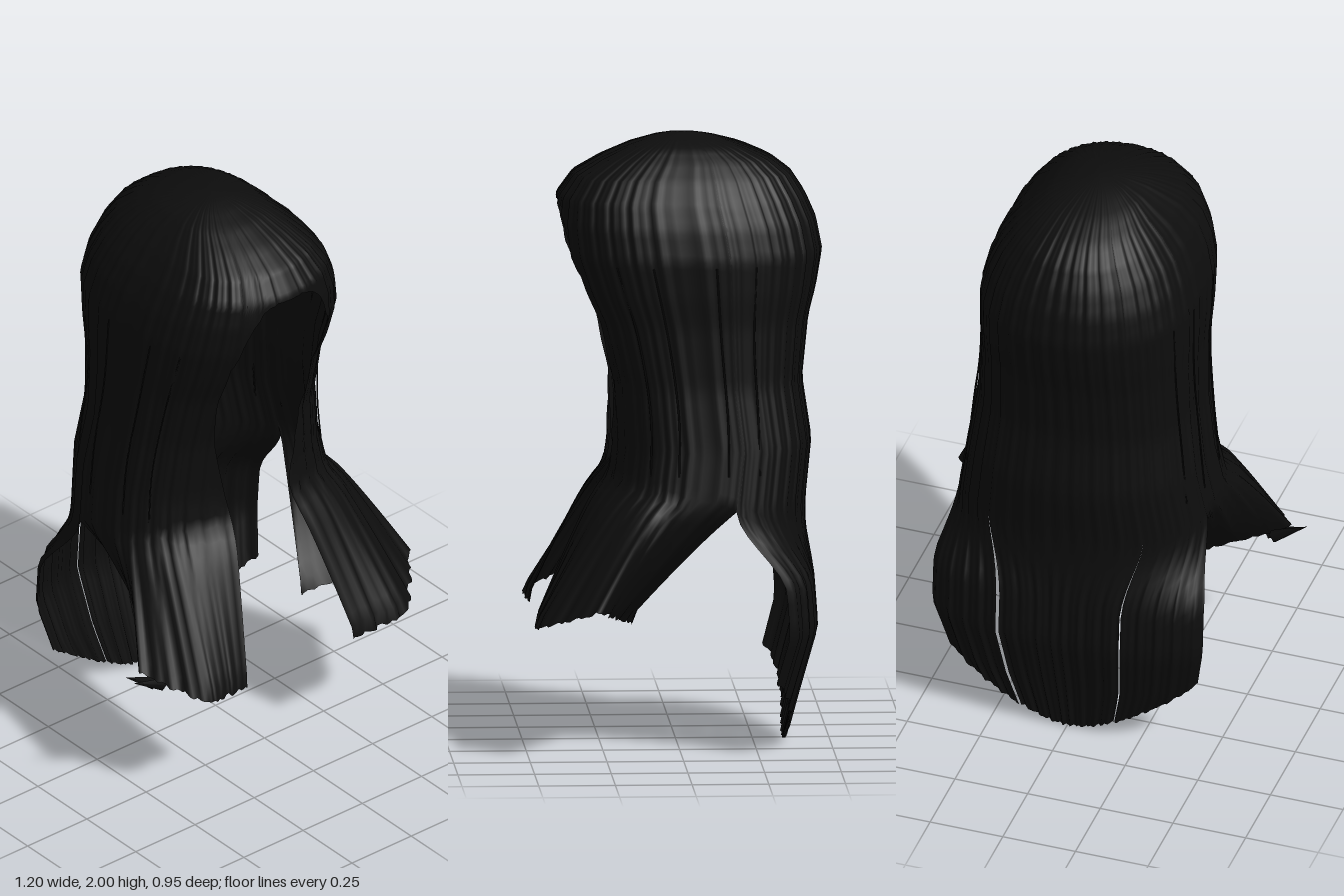
import * as THREE from 'three';

const hair = new THREE.MeshStandardMaterial({ color: 0x0d0d0d, side: THREE.DoubleSide });
hair.name = 'black hair';

// Piecewise linear lookup; rows are [key, value, value...] with rising keys.
function lookup(rows, key) {
  let i = 0;
  while (i < rows.length - 2 && key > rows[i + 1][0]) i++;
  const a = rows[i], b = rows[i + 1];
  const t = THREE.MathUtils.clamp((key - a[0]) / (b[0] - a[0]), 0, 1);
  return a.slice(1).map((p, n) => p + (b[n + 1] - p) * t);
}

// Height, half width, front z, back z of the head of hair.
const sections = [
  [0.8, 0.43, 0.25, -0.42], [1.0, 0.395, 0.225, -0.44], [1.2, 0.367, 0.235, -0.41],
  [1.4, 0.358, 0.29, -0.43], [1.5, 0.36, 0.34, -0.455], [1.62, 0.358, 0.385, -0.475],
  [1.72, 0.335, 0.395, -0.455], [1.8, 0.3, 0.385, -0.42], [1.87, 0.25, 0.335, -0.375],
  [1.92, 0.2, 0.25, -0.31], [1.96, 0.15, 0.16, -0.22], [1.985, 0.09, 0.08, -0.13],
  [1.996, 0.04, 0.03, -0.07], [2.0, 0, -0.02, -0.02],
];
// Height, half width, back z of the long back hair.
const backSections = [
  [0, 0.33, -0.35], [0.2, 0.425, -0.4], [0.4, 0.465, -0.455], [0.6, 0.465, -0.44], [0.85, 0.43, -0.42],
];
// Across the end of a front lock: fraction, x, y, z.
const lockEnd = [
  [0, 0.2, 0.41, 0.465], [0.3, 0.41, 0.42, 0.475], [0.62, 0.62, 0.5, 0.31], [1, 0.23, 0.41, 0.15],
];
const OPEN = 31, SPLIT = 101, SLIT = 0.46;

const fold = (a) => Math.abs(a > 180 ? 360 - a : a);
const ridge = (a) => 0.5 * Math.sin(fold(a) * 0.7) + 0.5 * Math.sin(fold(a) * 1.3 + 1);
const power = (n, p) => Math.sign(n) * Math.abs(n) ** p;

// Point on the head of hair at an angle in degrees (0 = front) and a height.
function headPoint(a, y) {
  const [w, zf, zb] = lookup(sections, y);
  const r = 1 + 0.011 * ridge(a), rad = THREE.MathUtils.degToRad(a);
  const c = Math.cos(rad);
  return new THREE.Vector3(
    w * r * power(Math.sin(rad), 0.9), y,
    (zf + zb) / 2 + ((zf - zb) / 2) * r * power(c, c > 0 ? 0.68 : 0.8));
}

// Sheet of strands running from the crown to the end height of each column.
function sheet(name, from, to, cols, rows, endY, point) {
  const pos = [], index = [];
  for (let i = 0; i <= cols; i++) {
    const a = from + ((to - from) * i) / cols, end = endY(a);
    for (let j = 0; j <= rows; j++) {
      const y = 2 - (2 - end) * (j / rows) ** 1.7;
      pos.push(...point(a, y).toArray());
      if (i < cols && j < rows) {
        const p = i * (rows + 1) + j, q = p + rows + 1;
        index.push(p, p + 1, q, q, p + 1, q + 1);
      }
    }
  }
  const geo = new THREE.BufferGeometry();
  geo.setAttribute('position', new THREE.Float32BufferAttribute(pos, 3));
  geo.setIndex(index);
  geo.computeVertexNormals();
  const mesh = new THREE.Mesh(geo, hair);
  mesh.name = name;
  return mesh;
}

// Front lock: leaves the head below the shoulder, flares forward and wraps inward behind.
const lockFraction = (a) => Math.min(1, (Math.abs(a) - OPEN) / (SPLIT - OPEN));
const lockBottom = (a) => lookup(lockEnd, lockFraction(a))[1] + 0.012 * Math.abs(ridge(a * 1.7));
function lockPoint(a, y) {
  const v = lockFraction(a), side = Math.sign(a);
  const [x, , z] = lookup(lockEnd, v);
  const endX = side < 0 ? 0.25 + (x - 0.2) * 0.78 : x;
  const inward = 17 * (1 - v) ** 3 * THREE.MathUtils.smoothstep(1.4 - y, 0, 0.6);
  const p = headPoint(a - side * inward, y);
  const start = 0.9 - 0.09 * v;
  const k = THREE.MathUtils.clamp((start - y) / (start - 0.44), 0, 1) ** 0.9;
  const r = 0.007 * ridge(a);
  return p.lerp(new THREE.Vector3(side * (endX + r), y, z + r), k).setY(y);
}

// Back hair: a curtain with forward-curled sides, tapering to a rounded end.
const backFraction = (a) => (180 - a) / (180 - SPLIT);
const backBottom = (a) => 1.3 * (0.43 * backFraction(a)) ** 2 + 0.008 * Math.abs(ridge(a * 1.9));
const backPoint = (isMiddle) => (a, y) => {
  const s = backFraction(a), k = THREE.MathUtils.smoothstep(0.82 - y, 0, 0.28);
  const [w, zb] = lookup(backSections, y);
  const gap = isMiddle ? (s > 0 ? 0.95 : 0.98) : 1;
  const z = zb + 0.03 * s * s + 0.07 * s ** 6 + 0.008 * ridge(a);
  return headPoint(a, y).lerp(new THREE.Vector3(w * s * gap, y, z), k);
};

// Thin loose strand through a few points.
function strand(points) {
  const curve = new THREE.CatmullRomCurve3(points);
  const mesh = new THREE.Mesh(new THREE.TubeGeometry(curve, 20, 0.003, 4), hair);
  mesh.name = 'looseStrand';
  return mesh;
}

export function createModel() {
  const wig = new THREE.Group();
  wig.name = 'longHair';

  // Hair over the forehead, ending in an arched hairline and tucked under the sides
  wig.add(sheet('foreheadHair', -OPEN - 2, OPEN + 2, 44, 28,
    (a) => 1.785 - 0.24 * Math.min(1, Math.abs(a) / OPEN) ** 4, headPoint));

  // Side hair and front locks, slightly overlapping the back hair
  wig.add(sheet('leftFrontLock', OPEN, SPLIT + 1.5, 60, 64, lockBottom, lockPoint));
  wig.add(sheet('rightFrontLock', -SPLIT - 1.5, -OPEN, 60, 64, lockBottom, lockPoint));

  // Back hair in three sections with narrow slits between their lower ends
  const slit = (180 - SPLIT) * SLIT;
  wig.add(sheet('leftBackHair', SPLIT, 180 - slit, 36, 64, backBottom, backPoint(false)));
  wig.add(sheet('middleBackHair', 180 - slit, 180 + slit, 56, 64, backBottom, backPoint(true)));
  wig.add(sheet('rightBackHair', 180 + slit, 360 - SPLIT, 36, 64, backBottom, backPoint(false)));

  // Flicked tips at the end of the right lock
  for (let i = 0; i < 2; i++) {
    const tip = new THREE.Mesh(new THREE.ConeGeometry(0.025, 0.14, 5), hair);
    tip.name = 'flickedTip';
    tip.scale.z = 0.5;
    tip.position.set(-0.55 + i * 0.02, 0.475 - i * 0.012, 0.28 + i * 0.02);
    tip.rotation.z = 1.05 + i * 0.12;
    wig.add(tip);
  }

  // Loose strands hugging both sides
  for (const side of [-1, 1]) {
    for (let i = 0; i < 4; i++) {
      wig.add(strand([1.6, 1.35, 1.1, 0.92].map((y, n) => {
        const p = headPoint(side * (62 + i * 17), y);
        return p.setX(p.x * (1 + 0.015 * (n % 3)));
      })));
    }
  }
  return wig;
}
